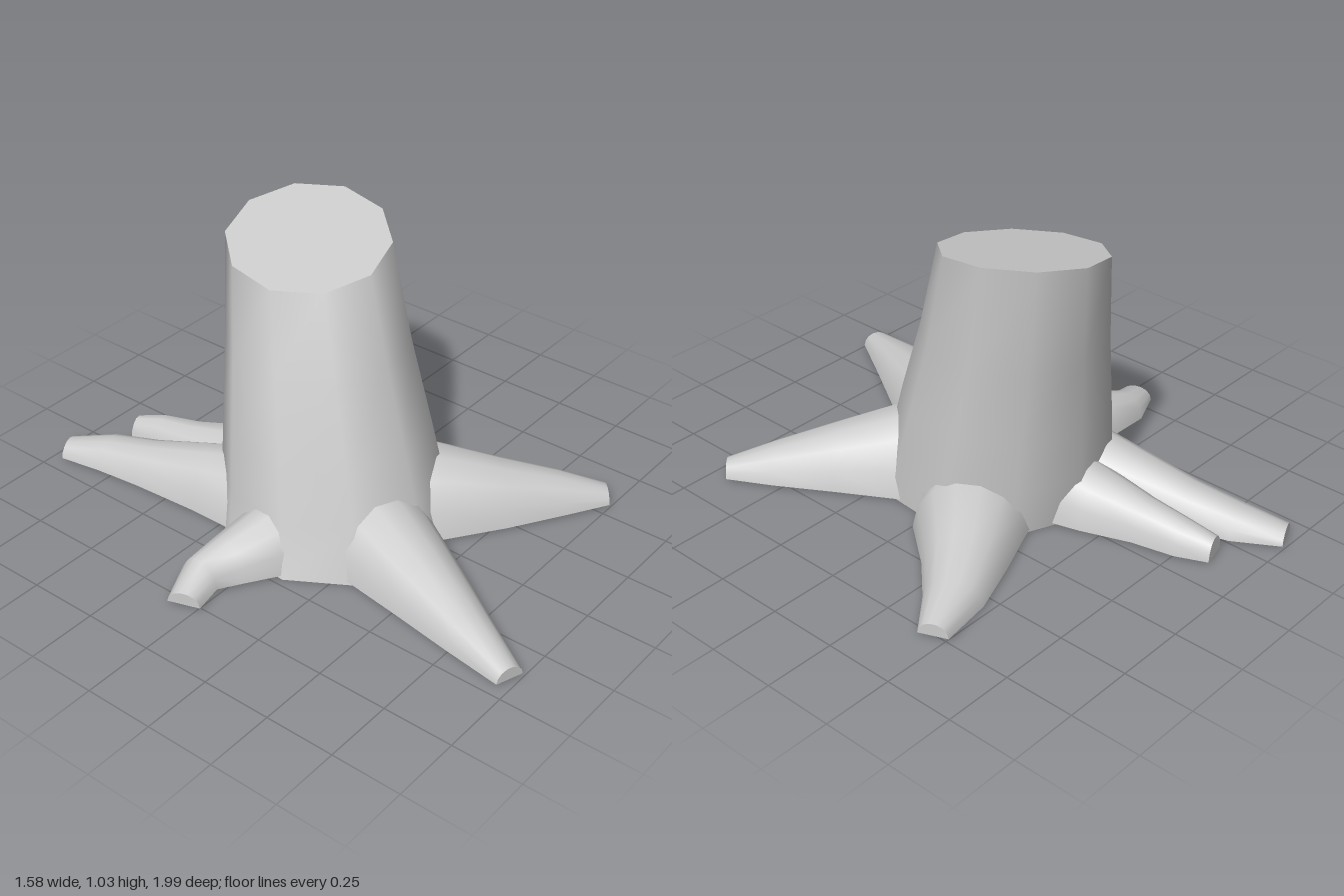
import * as THREE from 'three';
import { toCreasedNormals } from 'three/addons/utils/BufferGeometryUtils.js';

const material = new THREE.MeshStandardMaterial({ color: 0xcccccc });

// Skin a list of equal-length rings (counter-clockwise along the travel) and cap both ends
function loft(name, rings) {
  const n = rings[0].length, pos = [];
  const tri = (...pts) => pts.forEach((p) => pos.push(p.x, p.y, p.z));
  for (let i = 0; i < rings.length - 1; i++) {
    for (let j = 0; j < n; j++) {
      const k = (j + 1) % n;
      const a = rings[i][j], b = rings[i][k], c = rings[i + 1][k], d = rings[i + 1][j];
      tri(a, b, c);
      tri(a, c, d);
    }
  }
  const first = rings[0], last = rings[rings.length - 1];
  for (let j = 1; j < n - 1; j++) {
    tri(last[0], last[j], last[j + 1]);
    tri(first[0], first[j + 1], first[j]);
  }
  const geo = new THREE.BufferGeometry();
  geo.setAttribute('position', new THREE.Float32BufferAttribute(pos, 3));
  const mesh = new THREE.Mesh(toCreasedNormals(geo, THREE.MathUtils.degToRad(48)), material);
  mesh.name = name;
  return mesh;
}

// Leaning ten-sided trunk: [y, centre x, centre z, radius], slanted cut on top
function trunk() {
  const sections = [
    [0, -0.075, 0.02, 0.41],
    [0.18, -0.05, -0.015, 0.385],
    [0.36, -0.035, -0.05, 0.36],
    [0.64, 0.0, -0.115, 0.317],
    [0.97, 0.037, -0.183, 0.28],
  ];
  const rings = sections.map(([y, cx, cz, r], i) =>
    Array.from({ length: 10 }, (_, j) => {
      const a = (j / 10) * Math.PI * 2 + 0.23;
      const dx = r * Math.cos(a), dz = -r * Math.sin(a);
      const slant = i === sections.length - 1 ? 0.19 * dx - 0.12 * dz : 0;
      return new THREE.Vector3(cx + dx, y + slant, cz + dz);
    }));
  return loft('trunk', rings);
}

// Arched, flat-bottomed root: stations of [x, z, half width, height]
function root(name, stations) {
  const rings = stations.map(([x, z, w, h], i) => {
    const p = stations[Math.max(i - 1, 0)];
    const q = stations[Math.min(i + 1, stations.length - 1)];
    const t = new THREE.Vector2(q[0] - p[0], q[1] - p[1]).normalize();
    return Array.from({ length: 8 }, (_, j) => {
      const a = (j / 7) * Math.PI;
      const s = w * Math.cos(a);
      return new THREE.Vector3(x + t.y * s, 0.01 + h * Math.sin(a), z - t.x * s);
    });
  });
  return loft(name, rings);
}

export function createModel() {
  const group = new THREE.Group();
  group.name = 'treeStump';
  group.add(trunk());

  const roots = {
    frontRightRoot: [
      [-0.12, 0.12, 0.22, 0.26], [-0.18, 0.34, 0.185, 0.22], [-0.26, 0.56, 0.14, 0.155],
      [-0.34, 0.77, 0.095, 0.1], [-0.415, 0.978, 0.05, 0.045],
    ],
    frontLeftRoot: [
      [0.04, 0.12, 0.22, 0.27], [0.16, 0.27, 0.2, 0.245], [0.32, 0.44, 0.15, 0.17],
      [0.47, 0.59, 0.1, 0.105], [0.585, 0.71, 0.055, 0.045],
    ],
    leftRoot: [
      [0.1, -0.08, 0.2, 0.21], [0.29, -0.17, 0.19, 0.19], [0.44, -0.29, 0.14, 0.14],
      [0.6, -0.39, 0.1, 0.09], [0.765, -0.46, 0.052, 0.045],
    ],
    backLeftRoot: [
      [-0.06, -0.2, 0.16, 0.22], [-0.09, -0.42, 0.13, 0.17], [-0.115, -0.6, 0.09, 0.125],
      [-0.13, -0.75, 0.072, 0.1], [-0.155, -0.855, 0.05, 0.07],
    ],
    backRightRoot: [
      [-0.19, -0.15, 0.2, 0.24], [-0.25, -0.4, 0.14, 0.18], [-0.3, -0.65, 0.105, 0.115],
      [-0.335, -0.82, 0.09, 0.085], [-0.395, -0.975, 0.058, 0.045],
    ],
    rightRoot: [
      [-0.3, 0.0, 0.16, 0.21], [-0.44, -0.02, 0.13, 0.17], [-0.55, -0.06, 0.1, 0.125],
      [-0.66, -0.085, 0.073, 0.09], [-0.78, -0.045, 0.058, 0.045],
    ],
  };
  for (const [name, stations] of Object.entries(roots)) group.add(root(name, stations));
  return group;
}
